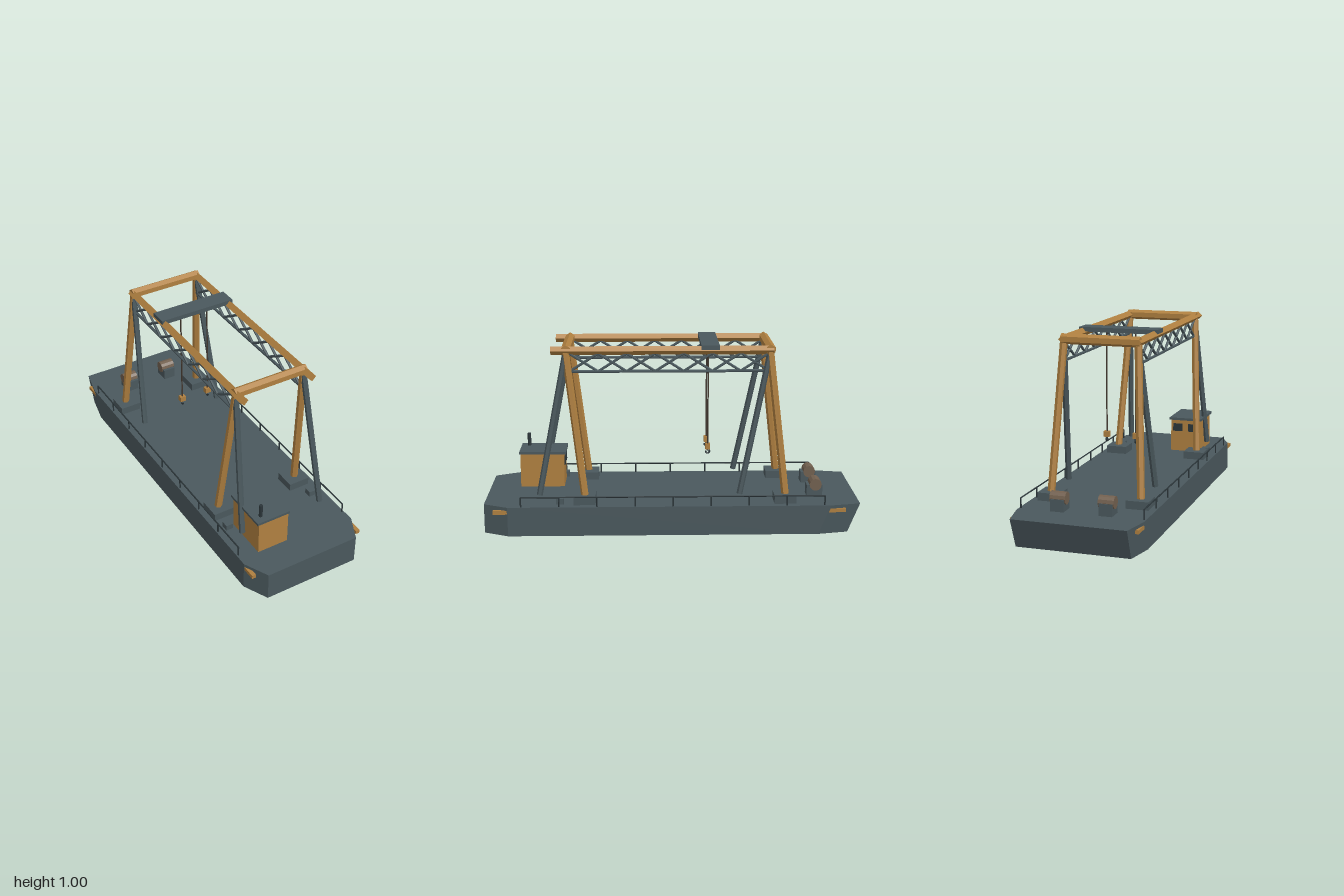
import * as THREE from 'three';

const mat = (name, color) => {
  const m = new THREE.MeshStandardMaterial({ color });
  m.name = name;
  return m;
};

export function createModel() {
  const slate = mat('slate', 0x4a585d);
  const orange = mat('ochre', 0xb08040);
  const dark = mat('dark steel', 0x2b3539);
  const brown = mat('drum brown', 0x72604f);
  const ropeMat = mat('rope brown', 0x43382f);
  const model = new THREE.Group();
  model.name = 'gantryBarge';

  const add = (name, geo, material, x = 0, y = 0, z = 0) => {
    const mesh = new THREE.Mesh(geo, material);
    mesh.name = name;
    mesh.position.set(x, y, z);
    model.add(mesh);
    return mesh;
  };
  const box = (name, material, w, h, d, x, y, z) =>
    add(name, new THREE.BoxGeometry(w, h, d), material, x, y, z);

  // Straight faceted bar between two points
  const bar = (name, material, a, b, r, sides = 6, roll = 0) => {
    const from = new THREE.Vector3(...a), to = new THREE.Vector3(...b);
    const dir = to.clone().sub(from);
    const geo = new THREE.CylinderGeometry(r, r, dir.length(), sides).rotateY(roll).toNonIndexed();
    geo.computeVertexNormals();
    const mesh = add(name, geo, material);
    mesh.position.copy(from).add(to).multiplyScalar(0.5);
    mesh.quaternion.setFromUnitVectors(new THREE.Vector3(0, 1, 0), dir.normalize());
    return mesh;
  };

  // Hull: chamfered plan, extruded upward, with the stern raked in at the bottom
  const deckY = 0.158;
  const plan = new THREE.Shape([
    [-0.267, -1], [0.267, -1], [0.331, -0.87], [0.331, 0.84],
    [0.297, 1], [-0.297, 1], [-0.331, 0.84], [-0.331, -0.87],
  ].map(([x, y]) => new THREE.Vector2(x, y)));
  const hull = new THREE.ExtrudeGeometry(plan, { depth: deckY, bevelEnabled: false });
  hull.rotateX(-Math.PI / 2);
  const p = hull.attributes.position;
  for (let i = 0; i < p.count; i++) {
    if (p.getY(i) < 0.01 && p.getZ(i) < -0.8) p.setZ(i, p.getZ(i) + 0.064);
  }
  hull.computeVertexNormals();
  add('hull', hull, slate);

  for (const s of [-1, 1]) {
    // Side railings
    bar('handrail', dark, [s * 0.321, 0.21, 0.8], [s * 0.321, 0.21, -0.81], 0.004);
    for (let i = 0; i < 9; i++) {
      const z = 0.8 - i * 0.201;
      bar('railPost', dark, [s * 0.321, deckY, z], [s * 0.321, 0.21, z], 0.004);
    }

    // Corner fenders
    box('frontFender', orange, 0.022, 0.02, 0.075, s * 0.319, 0.13, 0.91);
    box('rearFender', orange, 0.022, 0.02, 0.1, s * 0.319, 0.13, -0.87);

    // Leg pads and bollards
    for (const z of [0.465, -0.602]) box('legPad', slate, 0.118, 0.042, 0.116, s * 0.236, 0.179, z);
    box('bollard', slate, 0.04, 0.03, 0.04, s * 0.26, 0.173, 0.596);

    // Legs and braces
    const x = s * 0.197, foot = s * 0.24;
    bar('frontLeg', orange, [foot, 0.195, 0.465], [x, 0.96, 0.555], 0.02);
    bar('rearLeg', orange, [foot, 0.195, -0.605], [x, 0.96, -0.515], 0.02);
    bar('frontBrace', slate, [foot, 0.2, 0.705], [x, 0.96, 0.555], 0.016);
    bar('rearBrace', slate, [foot, 0.2, -0.36], [x, 0.96, -0.515], 0.016);

    // Runway beam with a cross-braced truss underneath
    bar('runwayBeam', orange, [x, 0.97, 0.632], [x, 0.97, -0.535], 0.023, 4);
    bar('trussChord', slate, [x, 0.86, 0.535], [x, 0.86, -0.51], 0.008);
    const bays = 7, z0 = 0.535, step = 1.045 / bays;
    for (let i = 0; i < bays; i++) {
      const a = z0 - i * step, b = a - step;
      bar('trussDiagonal', slate, [x, 0.86, a], [x, 0.955, b], 0.007);
      bar('trussDiagonal', slate, [x, 0.955, a], [x, 0.86, b], 0.007);
    }

    // Hoist rope, block and hook
    const hx = s * 0.081, hz = -0.197;
    bar('hoistRope', ropeMat, [hx, 0.43, hz], [hx, 0.98, hz], 0.004);
    box('hookBlock', orange, 0.032, 0.03, 0.026, hx, 0.42, hz);
    bar('hookShank', dark, [hx, 0.396, hz], [hx, 0.408, hz], 0.005);
    const hook = add('hook', new THREE.TorusGeometry(0.01, 0.005, 6, 12, Math.PI * 1.4), dark, hx, 0.392, hz);
    hook.rotation.set(0, Math.PI / 2, 0);
    hook.geometry.rotateZ(Math.PI * 0.9);

    // Deck winches
    const wx = s * 0.126;
    box('winchBase', slate, 0.07, 0.062, 0.085, wx, 0.189, -0.775);
    bar('winchDrum', brown, [wx - 0.041, 0.222, -0.78], [wx + 0.041, 0.222, -0.78], 0.033, 12);
  }

  // Cross beams and trolley
  for (const z of [0.553, -0.518]) {
    bar('crossBeam', orange, [-0.208, 0.972, z], [0.208, 0.972, z], 0.027, 6, Math.PI / 6);
  }
  box('trolley', slate, 0.43, 0.024, 0.096, 0, 0.985, -0.202);

  // Cabin with roof, windows and exhaust
  box('cabin', orange, 0.175, 0.188, 0.242, -0.136, 0.252, 0.713);
  box('cabinRoof', slate, 0.193, 0.014, 0.258, -0.138, 0.352, 0.71);
  for (const x of [-0.09, -0.182]) box('cabinWindow', dark, 0.055, 0.045, 0.008, x, 0.3, 0.59);
  bar('exhaust', dark, [-0.19, 0.355, 0.795], [-0.19, 0.43, 0.795], 0.01, 8);

  return model;
}
